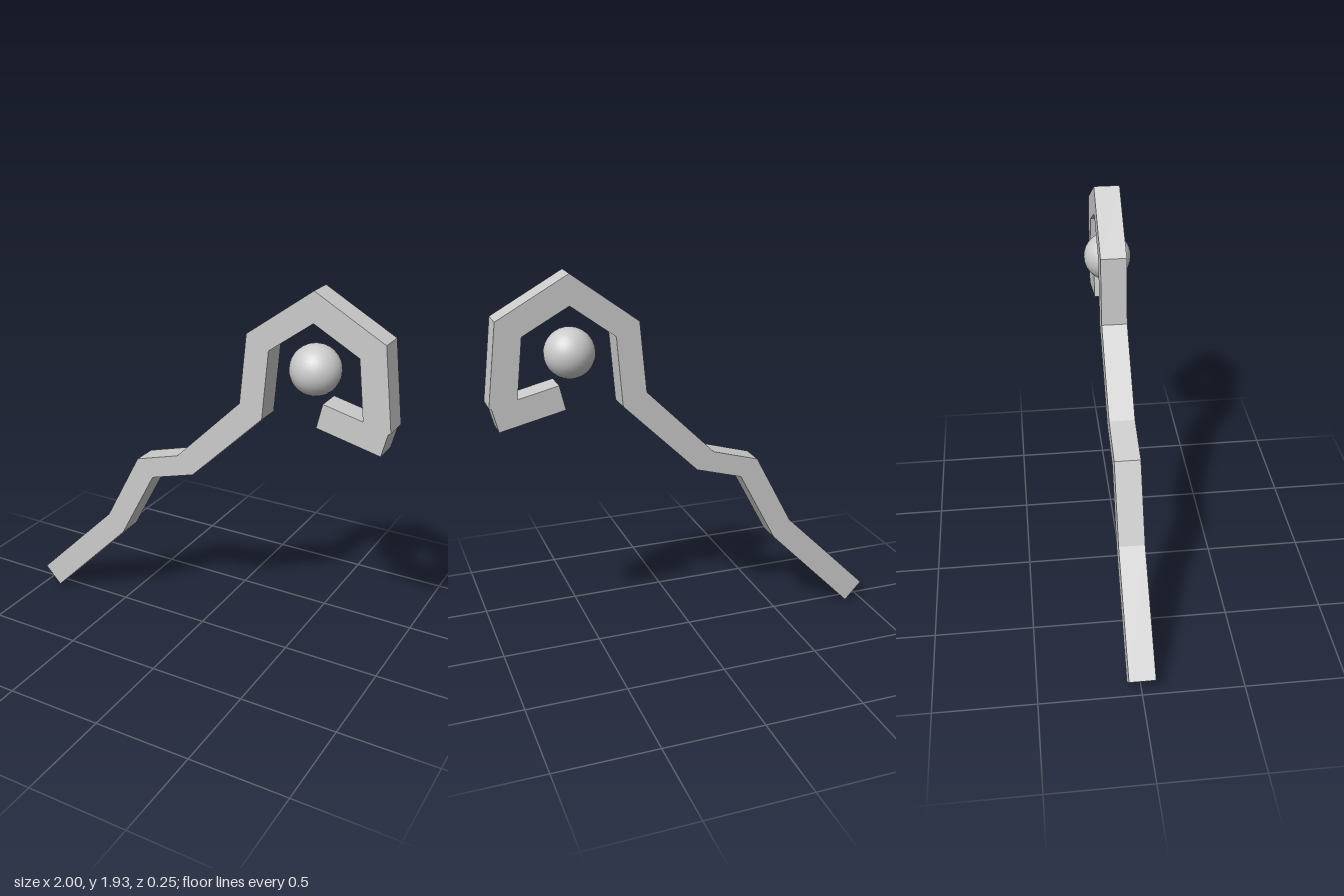
import * as THREE from 'three';

export function createModel() {
  const group = new THREE.Group();
  const material = new THREE.MeshStandardMaterial({ color: 0xcccccc });

  // Crooked shaft curling into an open hook, as one flat outline
  const outer = [
    [-1, 0.095], [-0.545, 0.545], [-0.35, 0.915], [-0.11, 0.985], [0.24, 1.335],
    [0.27, 1.685], [0.6, 1.93], [0.95, 1.735], [1, 1.335], [0.988, 1.328], [0.96, 1.215], [0.64, 1.29],
  ];
  const inner = [
    [0.668, 1.412], [0.866, 1.365], [0.832, 1.657], [0.604, 1.782], [0.386, 1.62],
    [0.36, 1.275], [-0.02, 0.9], [-0.26, 0.83], [-0.457, 0.457], [-0.91, 0],
  ];
  const outline = new THREE.Shape([...outer, ...inner].map(([x, y]) => new THREE.Vector2(x, y)));
  const thickness = 0.13;
  const staffGeometry = new THREE.ExtrudeGeometry(outline, { depth: thickness, bevelEnabled: false });
  staffGeometry.translate(0, 0, -thickness / 2);
  const staff = new THREE.Mesh(staffGeometry, material);
  staff.name = 'staff';
  group.add(staff);

  // Orb floating inside the hook
  const orb = new THREE.Mesh(new THREE.SphereGeometry(0.123, 32, 16), material);
  orb.name = 'orb';
  orb.position.set(0.597, 1.547, 0);
  group.add(orb);

  return group;
}
